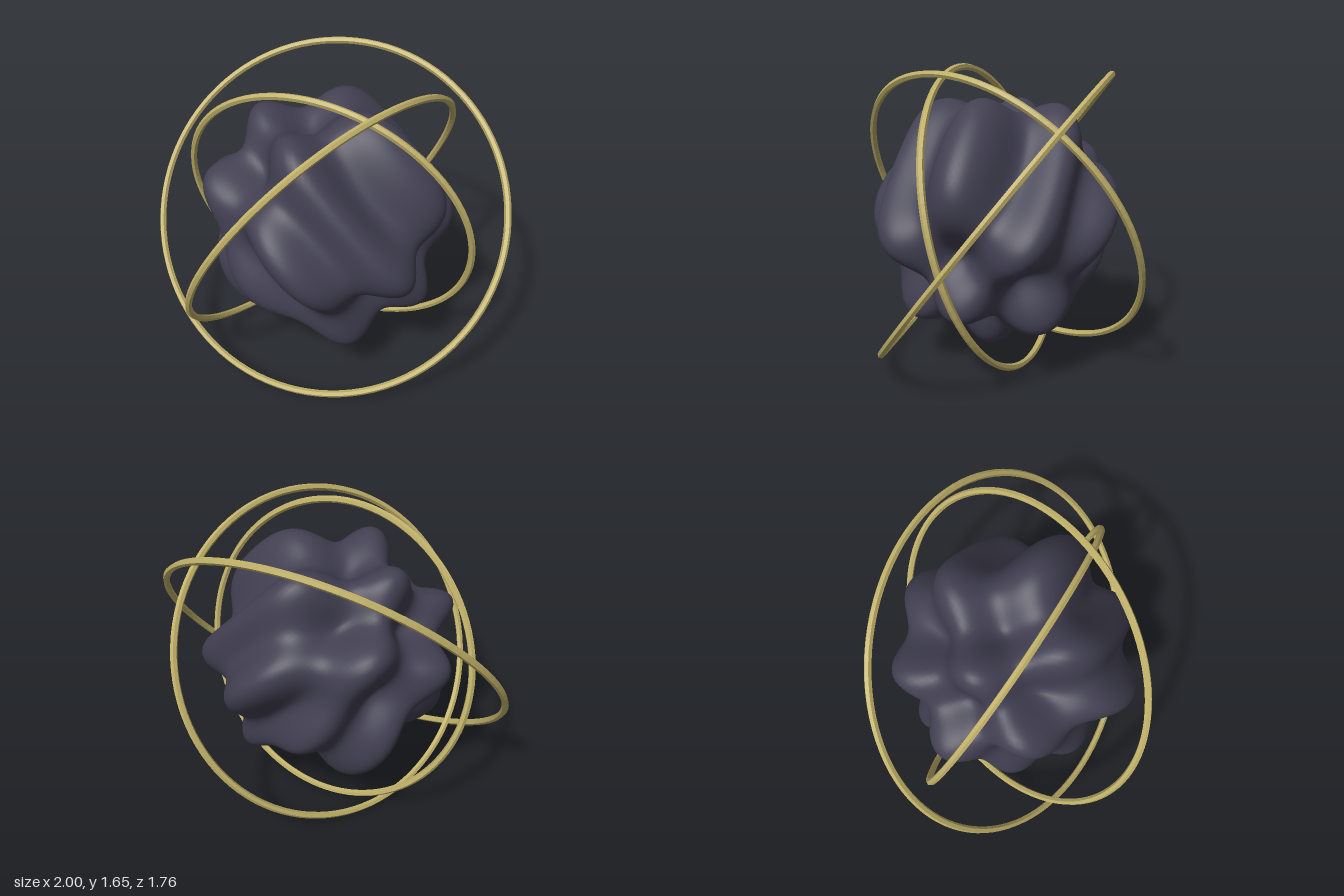
import * as THREE from 'three';
import { mergeVertices } from 'three/addons/utils/BufferGeometryUtils.js';

const CENTRE_Y = 0.826;

// Sphere pushed in and out by diagonal waves crossed with waves along z
function lumpyCoreGeometry() {
  const raw = new THREE.IcosahedronGeometry(1, 32);
  raw.deleteAttribute('uv');
  raw.deleteAttribute('normal');
  const geometry = mergeVertices(raw, 1e-5);
  const position = geometry.attributes.position;
  const frequency = 5.8;
  const p = new THREE.Vector3();
  for (let i = 0; i < position.count; i++) {
    p.fromBufferAttribute(position, i).normalize();
    const wave = Math.sin(frequency * (p.x + p.y)) * Math.cos(frequency * p.z);
    p.multiplyScalar(0.608 + 0.115 * wave);
    position.setXYZ(i, p.x, p.y, p.z);
  }
  geometry.computeVertexNormals();
  return geometry;
}

export function createModel() {
  const darkSlate = new THREE.MeshStandardMaterial({ color: 0x424052 });
  darkSlate.name = 'darkSlate';
  const paleGold = new THREE.MeshStandardMaterial({ color: 0xc0b068 });
  paleGold.name = 'paleGold';
  paleGold.flatShading = true;

  const model = new THREE.Group();
  model.name = 'ringedCore';

  const core = new THREE.Mesh(lumpyCoreGeometry(), darkSlate);
  core.name = 'lumpyCore';
  core.position.y = CENTRE_Y;
  model.add(core);

  // Three tilted six-sided rings, each set by its radius and the axis it circles
  const rings = [
    ['innerRing', 0.834, [0, -0.26, 0.966]],
    ['middleRing', 0.909, [0.82, -0.47, 0.32]],
    ['outerRing', 0.985, [0.1, 0.61, 0.79]],
  ];
  const forward = new THREE.Vector3(0, 0, 1);
  for (const [name, radius, axis] of rings) {
    const ring = new THREE.Mesh(new THREE.TorusGeometry(radius, 0.019, 6, 100), paleGold);
    ring.name = name;
    ring.position.y = CENTRE_Y;
    ring.quaternion.setFromUnitVectors(forward, new THREE.Vector3(...axis).normalize());
    model.add(ring);
  }
  return model;
}
